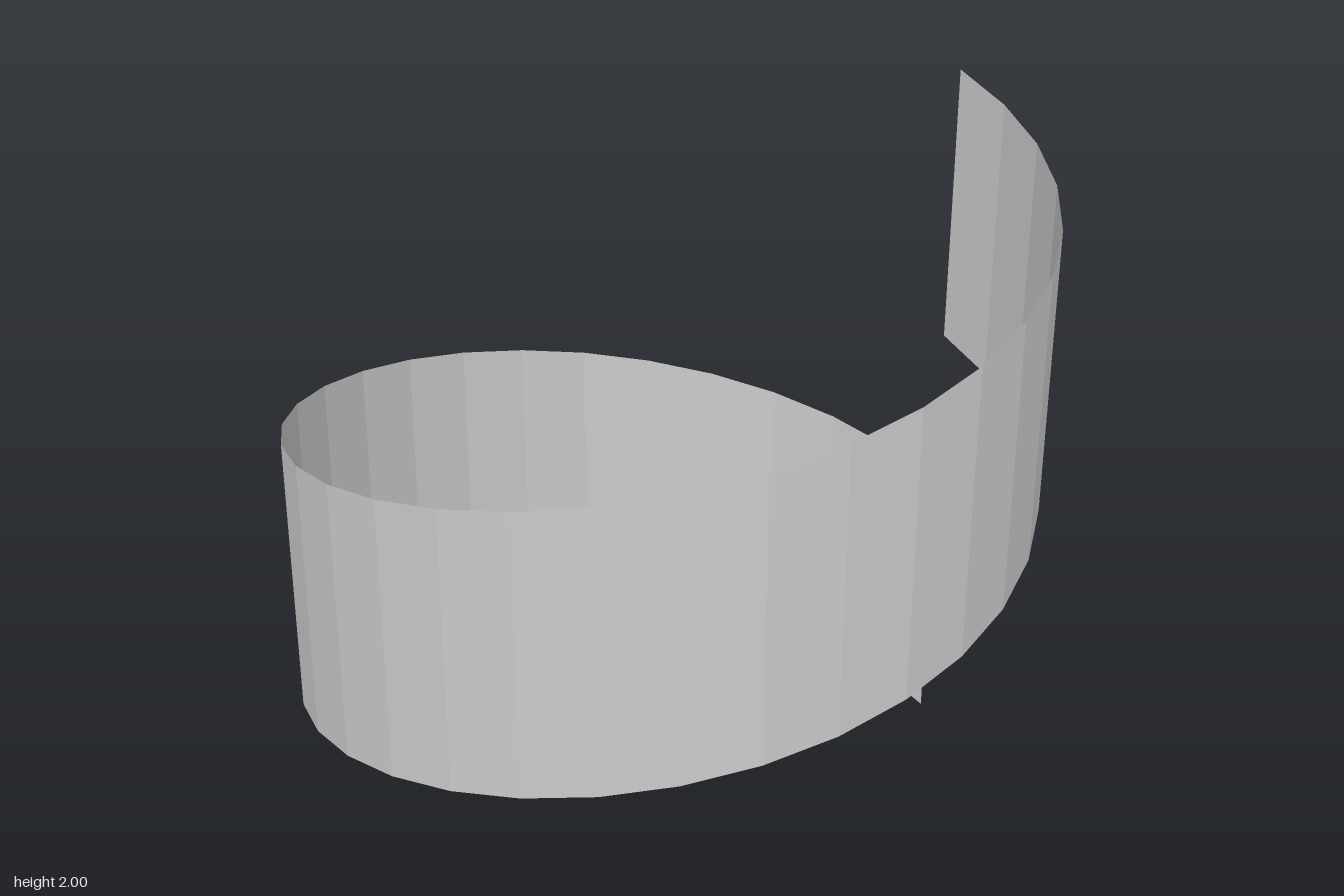
import * as THREE from 'three';

const RADIUS = 0.972;
const BAND = 0.77; // height of the strip
const RISE = 2 - BAND; // climb over one full turn
const START = THREE.MathUtils.degToRad(134); // measured from +z towards +x
const SEGMENTS = 32;

export function createModel() {
  const group = new THREE.Group();
  group.name = 'helicalStrip';

  // Flat strip wound one full turn around the y axis while it climbs
  const geometry = new THREE.PlaneGeometry(1, BAND, SEGMENTS, 1);
  const position = geometry.attributes.position;
  for (let i = 0; i < position.count; i++) {
    const t = position.getX(i) + 0.5;
    const angle = START + t * Math.PI * 2;
    position.setXYZ(
      i,
      RADIUS * Math.sin(angle),
      position.getY(i) + BAND / 2 + t * RISE,
      RADIUS * Math.cos(angle)
    );
  }
  geometry.computeVertexNormals();

  const material = new THREE.MeshStandardMaterial({
    color: 0xcccccc,
    flatShading: true,
    side: THREE.DoubleSide,
  });
  const ribbon = new THREE.Mesh(geometry, material);
  ribbon.name = 'spiralRibbon';
  group.add(ribbon);
  return group;
}
